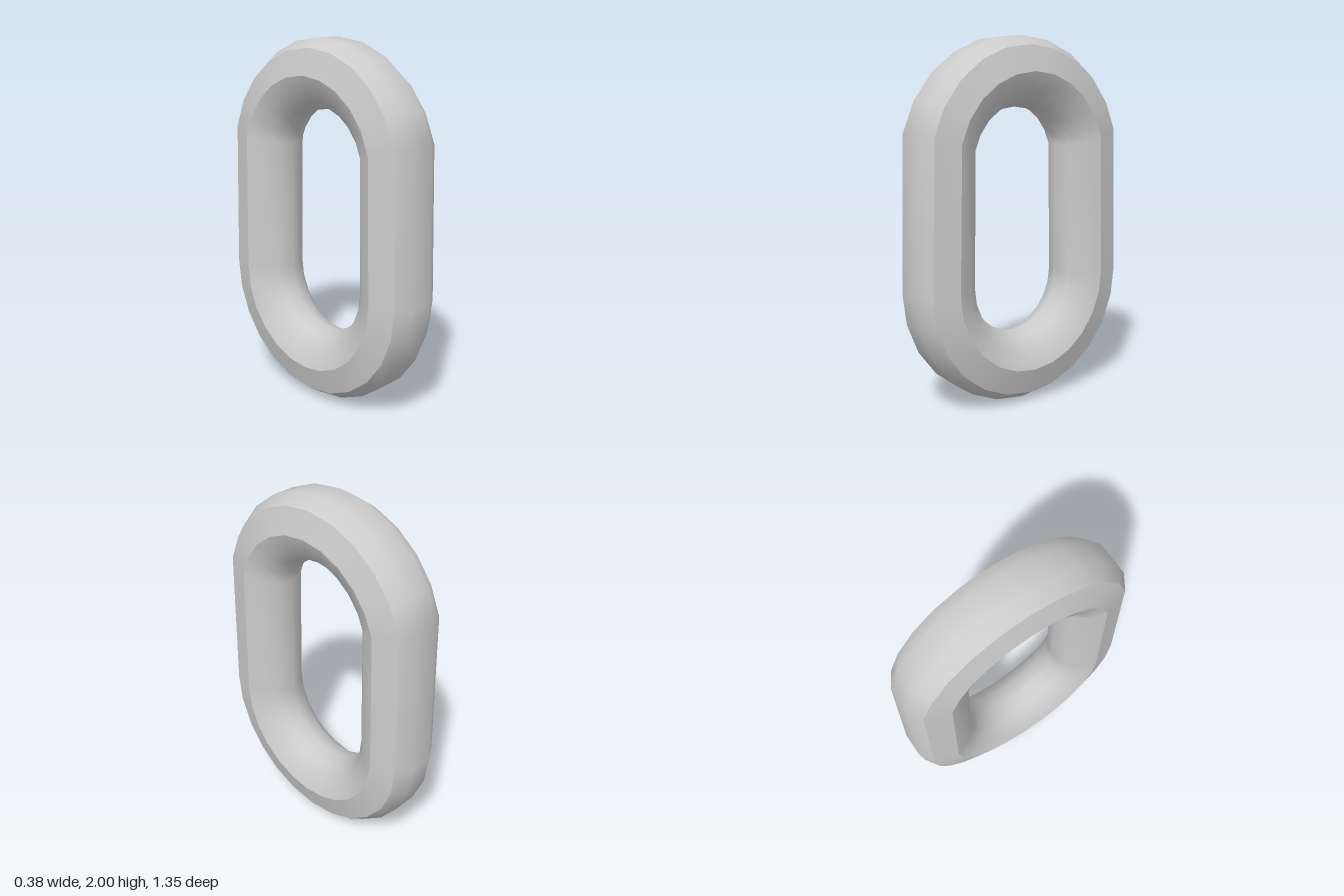
import * as THREE from 'three';

const RING = 0.486;      // centre-line radius of the rounded ends
const SEGMENTS = 24;     // steps around the link
const BOTTOM = 0.676, TOP = 1.324; // heights of the two end-arc centres

// One smooth band swept around the link; profile points are [x, radial offset]
function band(name, profile, material) {
  const n = profile.length, positions = [], index = [];
  for (let i = 0; i < SEGMENTS; i++) {
    const a = (i / SEGMENTS) * Math.PI * 2;
    const centre = Math.cos(a) > 0.01 ? TOP : BOTTOM;
    for (const [x, r] of profile) {
      positions.push(x, centre + Math.cos(a) * (RING + r), Math.sin(a) * (RING + r));
    }
    const next = (i + 1) % SEGMENTS;
    for (let j = 0; j < n - 1; j++) {
      const p = i * n + j, q = next * n + j;
      index.push(p, p + 1, q, p + 1, q + 1, q);
    }
  }
  const geometry = new THREE.BufferGeometry();
  geometry.setAttribute('position', new THREE.Float32BufferAttribute(positions, 3));
  geometry.setIndex(index);
  geometry.computeVertexNormals();
  const mesh = new THREE.Mesh(geometry, material);
  mesh.name = name;
  return mesh;
}

export function createModel() {
  const group = new THREE.Group();
  group.name = 'chainLink';
  const material = new THREE.MeshStandardMaterial({ color: 0xcccccc });

  // Bands meet at the sharp edges of the section
  group.add(
    band('outerRim', [[0.15, 0.14], [0.07, 0.19], [-0.07, 0.19], [-0.15, 0.14]], material),
    band('rightFace', [[-0.15, 0.14], [-0.19, 0]], material),
    band('innerRim', [[-0.19, 0], [-0.155, -0.09], [-0.085, -0.16], [0, -0.187],
      [0.085, -0.16], [0.155, -0.09], [0.19, 0]], material),
    band('leftFace', [[0.19, 0], [0.15, 0.14]], material)
  );
  return group;
}
